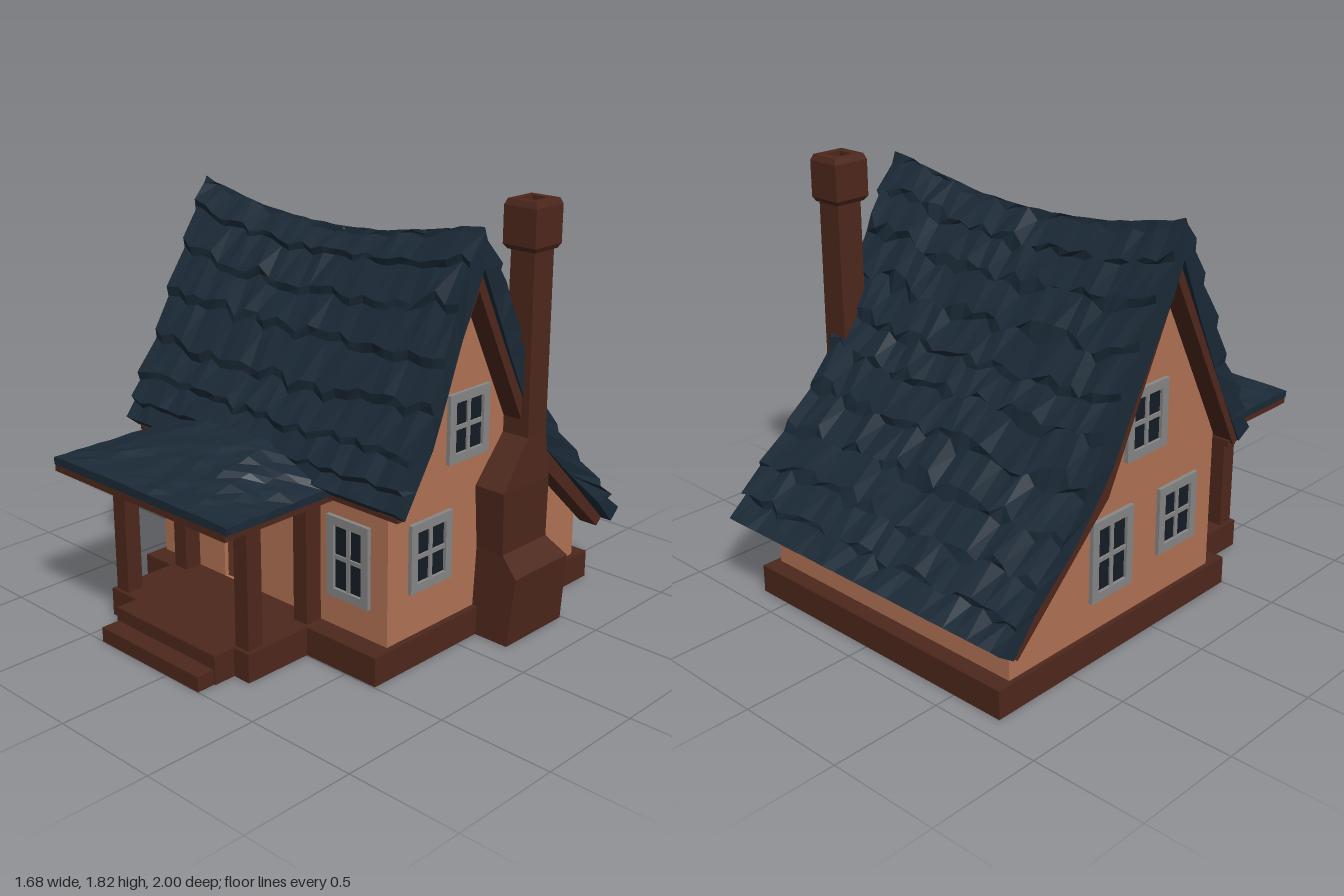
import * as THREE from 'three';

const mat = (color, side = THREE.FrontSide) => new THREE.MeshStandardMaterial({ color, side, flatShading: true });
const WALL = mat(0xb27355), WOOD = mat(0x4e281c), GREY = mat(0x878787), GLASS = mat(0x141d26);
const ROOF = mat(0x1b2a37, THREE.DoubleSide), BRICK = mat(0x4e281c, THREE.DoubleSide);

// Seeded noise in -1..1
const noise = (a, b) => {
  const s = Math.sin(a * 127.1 + b * 311.7) * 43758.5453;
  return (s - Math.floor(s)) * 2 - 1;
};

const shapeOf = pts => new THREE.Shape(pts.map(p => new THREE.Vector2(p[0], p[1])));
const rect = (x0, x1, y0, y1) => [[x0, y0], [x1, y0], [x1, y1], [x0, y1]];

function add(parent, name, geometry, material) {
  const m = new THREE.Mesh(geometry, material);
  m.name = name;
  parent.add(m);
  return m;
}

function box(parent, name, material, x0, x1, y0, y1, z0, z1) {
  const m = add(parent, name, new THREE.BoxGeometry(x1 - x0, y1 - y0, z1 - z0), material);
  m.position.set((x0 + x1) / 2, (y0 + y1) / 2, (z0 + z1) / 2);
  return m;
}

function extrude(pts, depth, hole) {
  const s = shapeOf(pts);
  if (hole) s.holes.push(shapeOf(hole));
  return new THREE.ExtrudeGeometry(s, { depth, bevelEnabled: false });
}

// Side profile drawn in (z, y), filling x1 - depth .. x1
const sideways = (pts, depth, x1) => extrude(pts, depth).rotateY(-Math.PI / 2).translate(x1, 0, 0);

function fromTriangles(pos) {
  const g = new THREE.BufferGeometry();
  g.setAttribute('position', new THREE.Float32BufferAttribute(pos, 3));
  g.computeVertexNormals();
  return g;
}

const quad = (out, a, b, c, d) => out.push(...a, ...b, ...c, ...a, ...c, ...d);

// Closed slab between two grids; u runs along +x, v runs from front to back
function slab(nu, nv, top, bottom) {
  const out = [];
  for (let i = 0; i < nu; i++) for (let j = 0; j < nv; j++) {
    quad(out, top(i, j), top(i + 1, j), top(i + 1, j + 1), top(i, j + 1));
    quad(out, bottom(i, j), bottom(i, j + 1), bottom(i + 1, j + 1), bottom(i + 1, j));
  }
  for (let i = 0; i < nu; i++) {
    quad(out, bottom(i, 0), bottom(i + 1, 0), top(i + 1, 0), top(i, 0));
    quad(out, bottom(i + 1, nv), bottom(i, nv), top(i, nv), top(i + 1, nv));
  }
  for (let j = 0; j < nv; j++) {
    quad(out, bottom(nu, j), bottom(nu, j + 1), top(nu, j + 1), top(nu, j));
    quad(out, bottom(0, j + 1), bottom(0, j), top(0, j), top(0, j + 1));
  }
  return fromTriangles(out);
}

// Rectangular rings [y, x0, x1, zFront, zBack] joined from bottom to top
function loft(rings) {
  const out = [];
  const c = rings.map(([y, x0, x1, zf, zb]) => [[x0, y, zf], [x1, y, zf], [x1, y, zb], [x0, y, zb]]);
  for (let k = 0; k + 1 < c.length; k++) for (let i = 0; i < 4; i++) {
    const n = (i + 1) % 4;
    quad(out, c[k][i], c[k][n], c[k + 1][n], c[k + 1][i]);
  }
  quad(out, ...c[c.length - 1]);
  quad(out, ...[...c[0]].reverse());
  return fromTriangles(out);
}

// Linear point on a polyline, t in 0..1
function along(pts, t) {
  const f = Math.min(Math.max(t, 0), 1) * (pts.length - 1), i = Math.min(Math.floor(f), pts.length - 2);
  return pts[i].map((p, k) => p + (pts[i + 1][k] - p) * (f - i));
}

// Main roof: sagging ridge, ragged edges and overlapping shingle courses
function mainRoof() {
  const outer = [
    [[.49, .75], [.46, .87], [.35, 1.08], [.22, 1.36], [.1, 1.6], [0, 1.755]],
    [[0, 1.755], [-.1, 1.59], [-.2, 1.4], [-.32, 1.17], [-.42, 1.01], [-.55, .8], [-.7, .62], [-.86, .45], [-.98, .34]]];
  const inner = [[[.45, .715], [0, 1.6]], [[0, 1.6], [-.2, 1.2], [-.4, .82], [-.92, .3]]];
  const right = [[.75], [.78], [.75], [.74], [.73], [.72], [.74], [.785], [.76]];
  const left = [[-.82], [-.81], [-.82], [-.84], [-.825], [-.82], [-.83], [-.815], [-.835]];
  const rows = [];
  for (let k = 0; k < 7; k++) rows.push([0, k / 7, .014], [0, (k + .85) / 7, -.006]);
  rows.push([1, 0, 0]);
  for (let k = 0; k < 10; k++) rows.push([1, (k + .15) / 10, -.006], [1, (k + 1) / 10, .014]);
  const NU = 26;
  const point = (i, j, profile, rough) => {
    const [side, t, lift] = rows[j];
    const course = Math.round(j / 2);
    const edge = j === 0 || j === rows.length - 1 || t === 0;
    const [z, y] = along(profile[side], t + (rough && !edge ? .022 * noise(i, course) : 0));
    const e = (.5 - z) / 1.48;
    const x0 = along(left, e)[0], x1 = along(right, e)[0];
    const x = x0 + (x1 - x0) * i / NU + (rough ? .008 * noise(i + 40, j) : 0);
    const sag = -.1 * Math.max(0, 1 - ((x + .08) / .75) ** 2) * Math.max(0, (y - .72) / 1.04);
    const off = rough ? lift + .008 * noise(i, j + 70) : 0;
    return [x, y + sag + off * .55, z + off * (side ? -.8 : .8) * (t === 0 && side ? 0 : 1)];
  };
  return slab(NU, rows.length - 1, (i, j) => point(i, j, outer, true), (i, j) => point(i, j, inner, false));
}

// Porch roof: low hump, falling to the front and both sides
function porchRoof() {
  const NU = 14, NV = 10;
  const at = (i, j) => [-.69 + 1.06 * i / NU, 1 - .57 * j / NV];
  const top = (i, j) => {
    const [x, z] = at(i, j);
    const s = Math.min(1, (1 - Math.abs(x + .16) / .53) / .62);
    const b = Math.min(1, (1 - z) / .5);
    const inside = i > 0 && i < NU && j > 0;
    const n = inside ? 1 : .3;
    return [x + .008 * n * noise(i, j), .74 + .12 * Math.min(s, .3 + b) * (.15 + .85 * b) + .009 * n * noise(i + 9, j + 5),
      z + (inside ? .012 * noise(j, i + 30) : -.01)];
  };
  return slab(NU, NV, top, (i, j) => { const [x, z] = at(i, j); return [x, .708, Math.min(z, .99)]; });
}

// Window facing +z: frame, pane and glazing bars
function windowUnit(parent, name, w, h, pos, turn) {
  const g = new THREE.Group();
  g.name = name;
  const a = w / 2, b = h / 2, t = .038;
  add(g, 'windowFrame', extrude(rect(-a, a, -b, b), .024, rect(-a + t, a - t, -b + t, b - t)), GREY).position.z = -.006;
  box(g, 'windowPane', GLASS, -a + t, a - t, -b + t, b - t, -.006, .004);
  box(g, 'verticalBar', GREY, -.009, .009, -b + t, b - t, .004, .012);
  box(g, 'horizontalBar', GREY, -a + t, a - t, -.009, .009, .004, .012);
  g.position.set(...pos);
  g.rotation.y = turn;
  parent.add(g);
}

export function createModel() {
  const house = new THREE.Group();
  house.name = 'cottage';

  // Hollow plinth following house, porch and landing
  const plan = [[-.735, -.9], [.65, -.9], [.65, .49], [.275, .49], [.275, .81], [.19, .81], [.19, .91],
    [-.41, .91], [-.41, .81], [-.57, .81], [-.57, .49], [-.735, .49]];
  const floor = extrude(plan.map(([x, z]) => [x, -z]), .012).rotateX(-Math.PI / 2).translate(0, .113, 0);
  add(house, 'floor', floor, WOOD);
  plan.forEach(([x, z], i) => {
    const [x2, z2] = plan[(i + 1) % plan.length], e = .006;
    box(house, 'plinthSide', WOOD, Math.min(x, x2) - e, Math.max(x, x2) + e, 0, .124, Math.min(z, z2) - e, Math.max(z, z2) + e);
  });
  box(house, 'stepTread', WOOD, -.41, .19, .053, .065, .91, 1);
  box(house, 'stepFront', WOOD, -.41, .19, 0, .053, .988, 1);
  for (const x of [-.41, .178]) box(house, 'stepSide', WOOD, x, x + .012, 0, .053, .916, .988);

  // Walls, with an open doorway in the front
  const gable = [[.4, .12], [.4, .74], [0, 1.54], [-.39, .78], [-.83, .34], [-.83, .12]];
  add(house, 'rightGableWall', sideways(gable, .02, .63), WALL);
  add(house, 'leftGableWall', sideways(gable, .02, -.7), WALL);
  add(house, 'frontWall', extrude(rect(-.7, .61, .12, .74), .02, rect(-.32, -.1, .125, .58)).translate(0, 0, .38), WALL);
  box(house, 'backWall', WALL, -.7, .61, .12, .34, -.83, -.81);

  // Windows
  windowUnit(house, 'frontWindow', .225, .35, [.428, .435, .4], 0);
  for (const s of [1, -1]) {
    const x = s > 0 ? .63 : -.72;
    windowUnit(house, 'lowerSideWindow', .245, .295, [x, .462, .158], s * Math.PI / 2);
    windowUnit(house, 'upperSideWindow', .245, .29, [x, .945, -.058], s * Math.PI / 2);
  }
  windowUnit(house, 'rearSideWindow', .245, .35, [-.72, .435, -.255], -Math.PI / 2);

  // Roofs with bargeboards and eave board
  add(house, 'mainRoof', mainRoof(), ROOF);
  const barge = [[.46, .72], [0, 1.61], [-.4, .83], [-.92, .31], [-.88, .275], [-.38, .75], [0, 1.51], [.42, .705]];
  add(house, 'rightBargeboard', sideways(barge, .09, .72), WOOD);
  add(house, 'leftBargeboard', sideways(barge, .09, -.72), WOOD);
  box(house, 'eaveBoard', WOOD, -.8, .72, .695, .722, .4, .45);
  add(house, 'porchRoof', porchRoof(), ROOF);
  box(house, 'porchCeiling', WOOD, -.685, .36, .68, .71, .4, .99);

  // Porch posts
  for (const x of [-.56, .19]) {
    box(house, 'frontPost', WOOD, x, x + .075, 0, .69, .725, .8);
    box(house, 'backPost', WOOD, x, x + .075, .12, .69, .4, .48);
  }

  // Chimney: flared foot, shoulder, shaft and hollow cap
  add(house, 'chimneyStack', loft([
    [0, .6, .82, -.12, -.49], [.3, .6, .84, -.14, -.49], [.385, .6, .765, -.145, -.435],
    [.66, .6, .775, -.125, -.425], [.85, .63, .757, -.295, -.415], [1.63, .64, .755, -.29, -.415]]), BRICK);
  add(house, 'chimneyCap', loft([
    [1.615, .63, .765, -.28, -.425], [1.635, .617, .775, -.265, -.437], [1.79, .617, .775, -.265, -.437],
    [1.815, .627, .765, -.275, -.427], [1.815, .655, .733, -.312, -.393], [1.7, .655, .733, -.312, -.393]]), BRICK);
  box(house, 'flueBottom', GLASS, .655, .733, 1.7, 1.71, -.393, -.312);
  return house;
}
